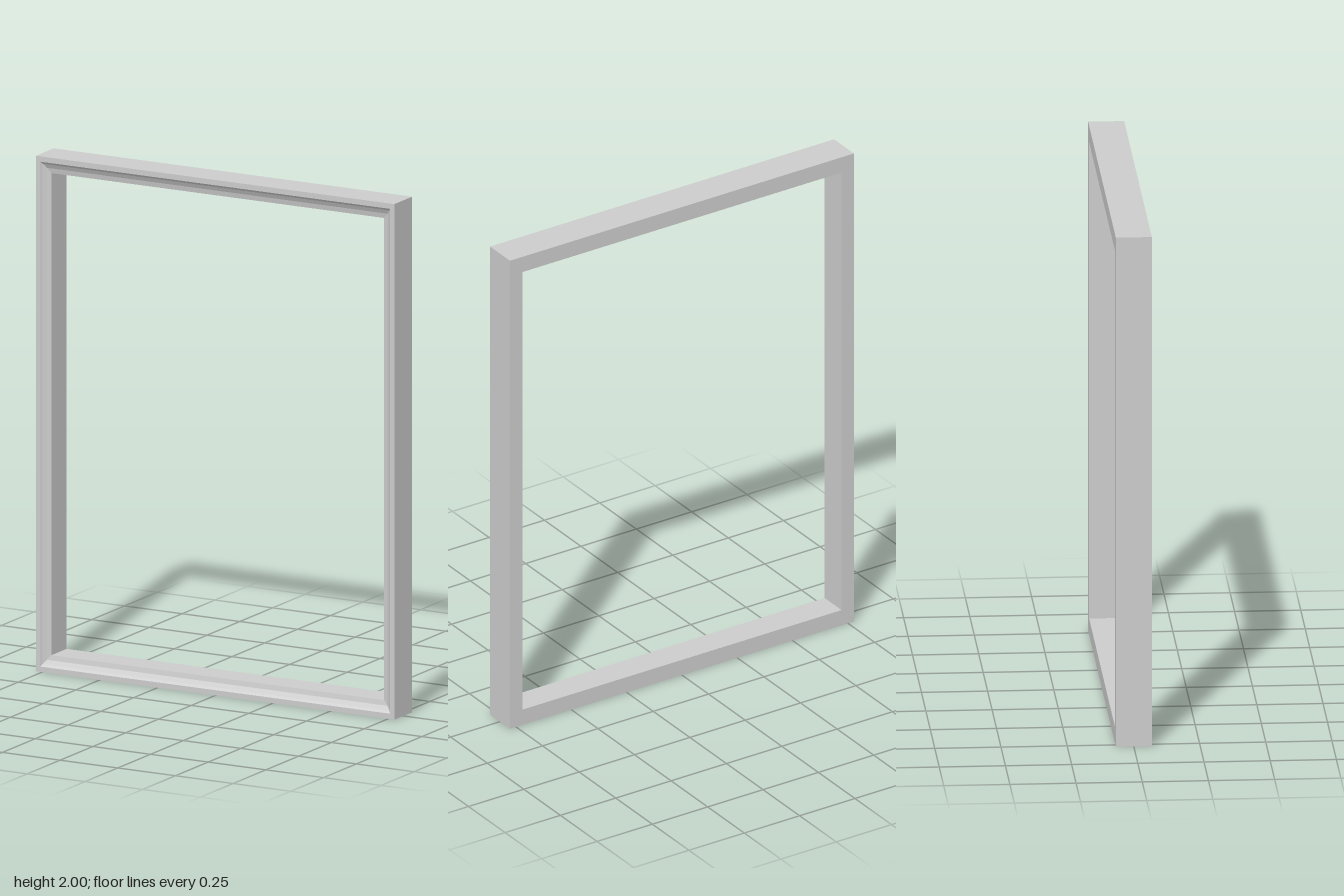
import * as THREE from 'three';

const HALF_W = 0.777, HEIGHT = 2, BACK = -0.068, FRONT = 0.068;
const RAIL_X = 0.056, RAIL_Y = 0.065; // visible moulding widths

// Moulding section: [share of width from outer to inner edge, z]
const profile = [
  [0, BACK], [0, FRONT], [0.32, FRONT], [0.45, 0.06], [0.7, 0.051], [1, 0.047], [1, BACK],
];
// Corners, counter-clockwise from the front
const corners = [[-1, -1], [1, -1], [1, 1], [-1, 1]];

function point([sx, sy], [t, z]) {
  return [sx * (HALF_W - t * RAIL_X), HEIGHT / 2 + sy * (HEIGHT / 2 - t * RAIL_Y), z];
}

// One mitred rail swept between two neighbouring corners
function rail(from, to, material) {
  const positions = [];
  profile.forEach((p, i) => {
    const q = profile[(i + 1) % profile.length];
    const a = point(from, p), b = point(from, q), c = point(to, q), d = point(to, p);
    positions.push(...a, ...d, ...c, ...a, ...c, ...b);
  });
  const geometry = new THREE.BufferGeometry();
  geometry.setAttribute('position', new THREE.Float32BufferAttribute(positions, 3));
  geometry.computeVertexNormals();
  return new THREE.Mesh(geometry, material);
}

export function createModel() {
  const group = new THREE.Group();
  group.name = 'frame';
  const material = new THREE.MeshStandardMaterial({ color: 0xcccccc, flatShading: true });
  ['bottomRail', 'leftRail', 'topRail', 'rightRail'].forEach((name, i) => {
    const mesh = rail(corners[i], corners[(i + 1) % 4], material);
    mesh.name = name;
    group.add(mesh);
  });
  return group;
}
